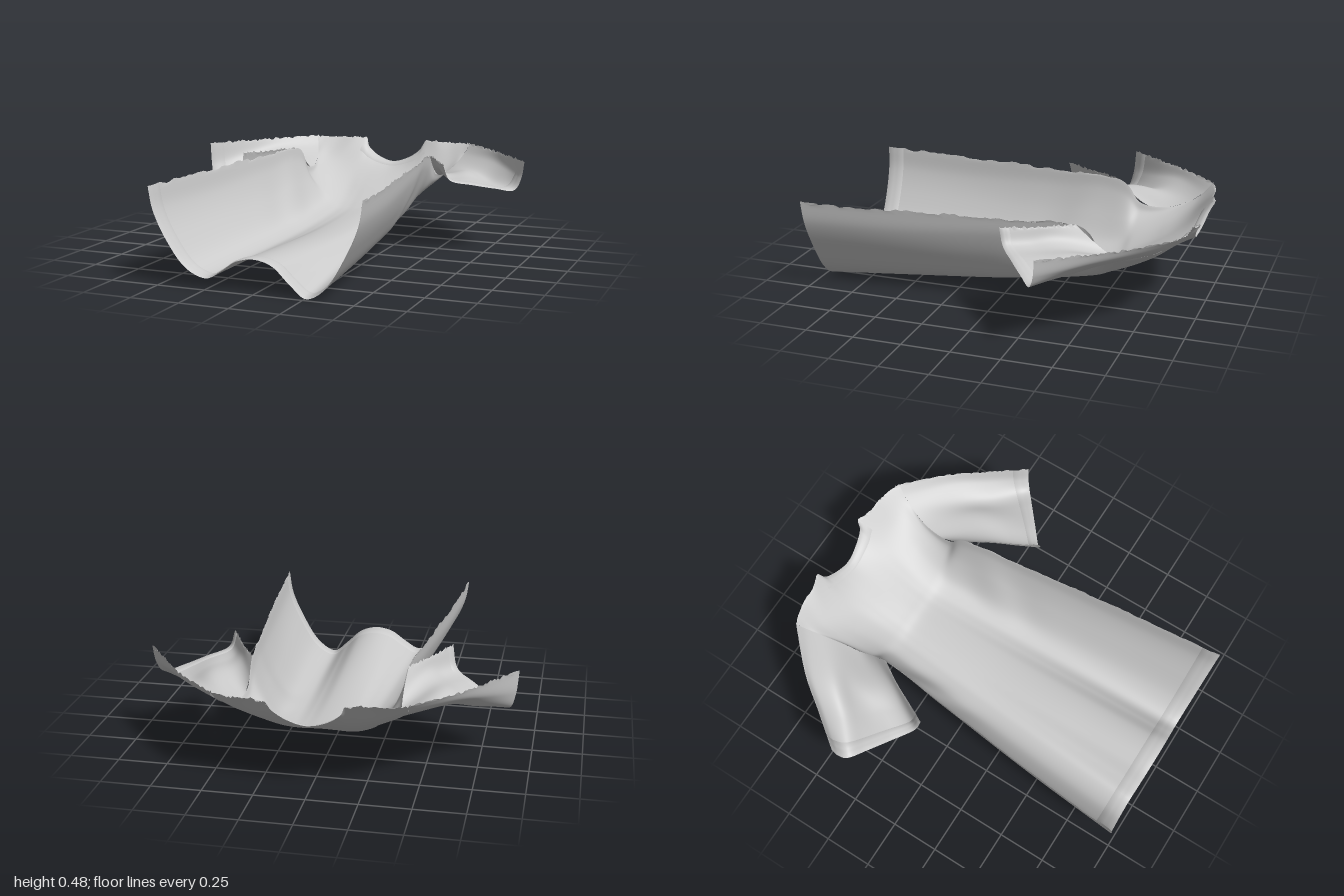
import * as THREE from 'three';
import { ParametricGeometry } from 'three/addons/geometries/ParametricGeometry.js';

const TOP = 0.48; // height of the open cut edge
const V = (x, y, z) => new THREE.Vector3(x, y, z);
const cloth = new THREE.MeshStandardMaterial({ color: 0xcccccc, side: THREE.DoubleSide });

// Seeded value for one step along a frayed edge
const hash = (i) => {
  const s = Math.sin(i * 12.9898) * 43758.5453;
  return s - Math.floor(s);
};
const fray = (k) => 0.012 * hash(Math.round(k * 45)) + 0.01 * hash(Math.round(k * 160)) - 0.012;

// Smooth surface through a list of cross-sections: u across, v along
function loft(rows) {
  const curves = rows.map((r) => new THREE.CatmullRomCurve3(r, false, 'catmullrom', 0.5));
  return (u, v) => {
    const path = new THREE.CatmullRomCurve3(curves.map((c) => c.getPoint(u)), false, 'catmullrom', 0.5);
    const p = path.getPoint(v);
    p.y = Math.min(p.y, TOP);
    return p;
  };
}

function clothMesh(name, at, nu, nv) {
  const g = new ParametricGeometry((u, v, t) => t.copy(at(u, v)), nu, nv);
  g.computeVertexNormals();
  const m = new THREE.Mesh(g, cloth);
  m.name = name;
  return m;
}

// Strip of a surface raised slightly to the inside, as a turned hem
const band = (name, at, inward, v0, v1, u0 = 0, u1 = 1) => clothMesh(name, (u, v) => {
  const rise = v < 0.01 || v > 0.99 ? 0.001 : 0.006;
  const U = u0 + (u1 - u0) * u, W = v0 + (v1 - v0) * v;
  const e = 0.004;
  const a = at(Math.min(U + e, 1), W).sub(at(Math.max(U - e, 0), W));
  const b = at(U, Math.min(W + e, 1)).sub(at(U, Math.max(W - e, 0)));
  return at(U, W).addScaledVector(a.cross(b).normalize(), rise * inward);
}, 70, 5);

// Body sections from hem to chest: z, half width, heights from centre to side
const across = [0, 0.17, 0.32, 0.48, 0.68, 0.85, 0.96, 1];
const sections = [
  [1.0, 0.54, 0.168, 0.143, 0.068, 0.005, 0.075, 0.225, 0.36, 0.48],
  [0.5, 0.495, 0.14, 0.125, 0.078, 0.042, 0.095, 0.23, 0.36, 0.48],
  [0.0, 0.44, 0.122, 0.115, 0.093, 0.082, 0.125, 0.25, 0.38, 0.48],
  [-0.42, 0.392, 0.138, 0.135, 0.13, 0.135, 0.175, 0.29, 0.4, 0.48],
  [-0.55, 0.385, 0.17, 0.168, 0.166, 0.175, 0.21, 0.265, 0.315, 0.36],
  [-0.7, 0.4, 0.238, 0.238, 0.238, 0.243, 0.268, 0.3, 0.325, 0.345],
  [-0.84, 0.44, 0.305, 0.31, 0.32, 0.335, 0.355, 0.375, 0.395, 0.4],
];
// Neckline and shoulder edge
const shoulder = [
  V(0, 0.35, -0.94), V(0.09, 0.375, -0.95), V(0.16, 0.425, -0.965), V(0.19, 0.48, -0.99),
  V(0.26, 0.48, -0.965), V(0.35, 0.48, -0.96), V(0.43, 0.48, -0.94), V(0.475, 0.48, -0.92),
];

function mirrorRow(half) {
  const left = half.slice(1).reverse().map((p) => V(-p.x, p.y, p.z));
  return [...left, ...half];
}

function bodySurface() {
  const rows = sections.map(([z, w, ...ys], k) => {
    // The hem edge leans back toward its lowest point
    const lean = k === 0 ? 0.025 : 0;
    const row = mirrorRow(ys.map((y, i) => V(across[i] * w, y, z - lean * (1 - y / TOP))));
    // The right-hand fold rides a little higher toward the hem
    for (const p of row) {
      const lift = Math.max(0, (z + 0.4) / 1.4) * 0.05;
      p.y += lift * Math.exp(-(((p.x + 0.27) / 0.13) ** 2));
    }
    return row;
  });
  rows.push(mirrorRow(shoulder));
  const base = loft(rows);
  return (u, v) => {
    const p = base(u, v);
    // Soft diagonal creases on the flanks below the arms
    const flank = Math.exp(-(((Math.abs(p.x) - 0.34) / 0.07) ** 2) - ((p.z + 0.25) / 0.25) ** 2);
    p.y += 0.014 * flank * Math.sin(p.z * 14 + Math.abs(p.x) * 14);
    return p;
  };
}

function sleeveSurface(body, side) {
  const depth = side > 0 ? 1 : 1.42;
  const place = ([x, y, z]) => V(side * x, y, z);
  const seam = [];
  for (let i = 0; i <= 6; i++) seam.push(body(side > 0 ? 1 : 0, (3 + (4 * i) / 6) / 7));
  const middle = [
    [0.46, 0.48, -0.31], [0.475, 0.42, -0.34], [0.52, 0.39, -0.43], [0.57, 0.38, -0.53],
    [0.605, 0.385, -0.62], [0.645, 0.42, -0.7], [0.665, 0.48, -0.73],
  ].map(place);
  const cuff = [
    [0.57, 0.48, -0.09], [0.6, 0.4, -0.12], [0.7, 0.37, -0.2], [0.8, 0.345, -0.28],
    [0.88, 0.33, -0.345], [0.912, 0.39, -0.375], [0.925, 0.48, -0.385],
  ].map(place);
  for (const p of cuff) p.y = TOP - (TOP - p.y) * depth;
  const outer = middle.map((p, i) => p.clone().lerp(cuff[i], 0.5));
  const base = loft([seam, middle, outer, cuff]);
  return (u, v) => {
    const p = base(u, v);
    // Creases fanning out of the armhole
    p.y += 0.012 * Math.sin(u * Math.PI) * Math.sin(v * Math.PI) * Math.sin(u * 15 + v * 3);
    return p;
  };
}

export function createModel() {
  const group = new THREE.Group();
  group.name = 'shirtHalf';
  const body = bodySurface();

  // Body panel with frayed side and shoulder edges
  group.add(clothMesh('bodyPanel', (u, v) => {
    const p = body(u, v);
    const onSide = (u < 1e-4 || u > 1 - 1e-4) && v < 3 / 7 - 0.01;
    const onTop = v > 1 - 1e-4 && p.y > TOP - 0.02;
    if (onSide || onTop) p.y += fray(u + v);
    return p;
  }, 120, 130));
  group.add(band('bottomHem', body, 1, 0, 0.027));
  group.add(band('collarBand', body, 1, 0.93, 1, 4 / 14, 10 / 14));

  // Sleeves
  for (const side of [1, -1]) {
    const sleeve = sleeveSurface(body, side);
    const label = side > 0 ? 'left' : 'right';
    group.add(clothMesh(label + 'Sleeve', (u, v) => {
      const p = sleeve(u, v);
      if ((u < 1e-4 || u > 1 - 1e-4) && v > 0.02) p.y += fray(u * 3 + v);
      return p;
    }, 60, 50));
    group.add(band(label + 'CuffHem', sleeve, -side, 0.87, 1));
  }
  return group;
}
